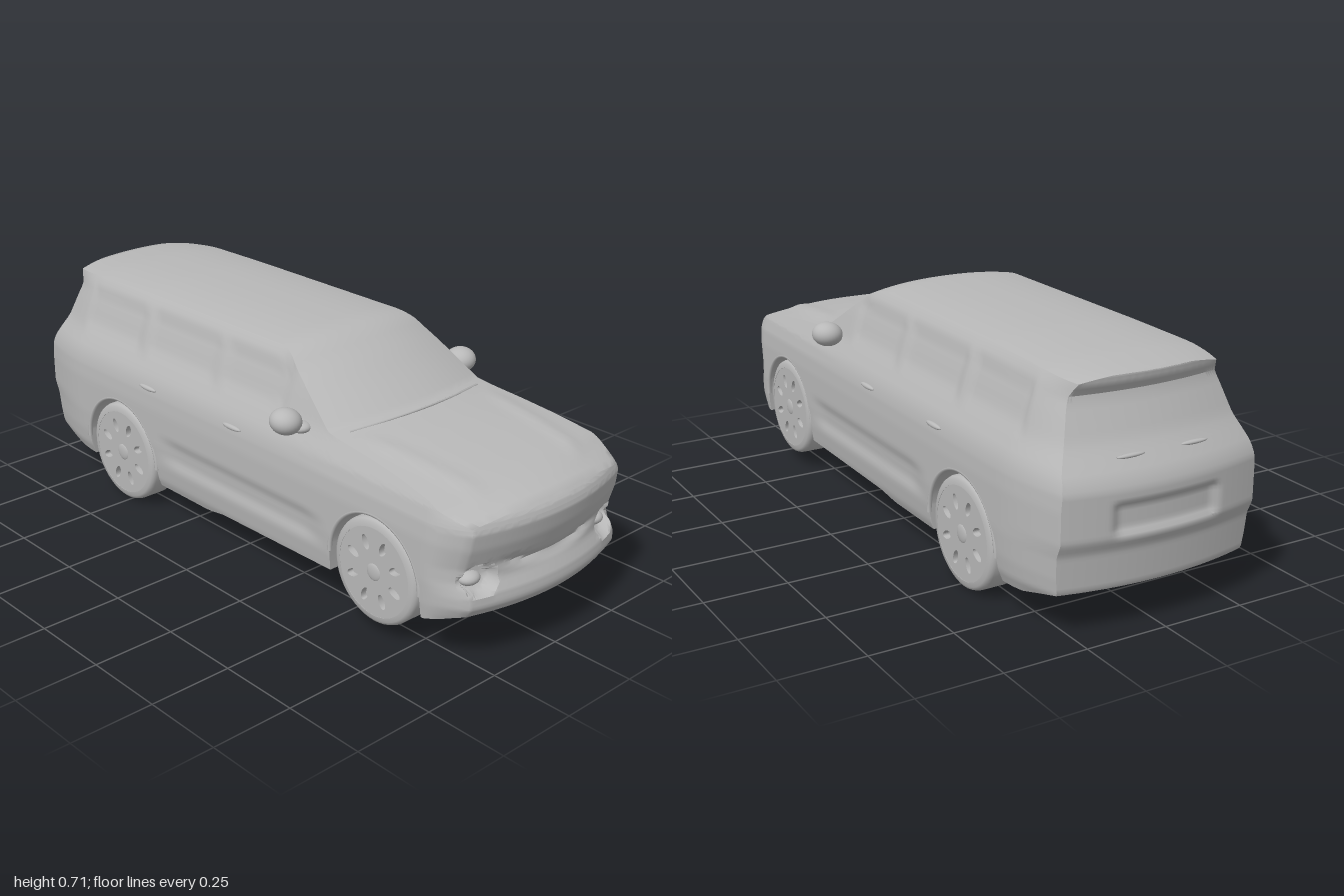
import * as THREE from 'three';
import { toCreasedNormals } from 'three/addons/utils/BufferGeometryUtils.js';

const paint = new THREE.MeshStandardMaterial({ color: 0xb8b8b8 });
paint.name = 'plain grey';

const clamp = (v) => Math.min(1, Math.max(0, v));
const smooth = (v, a, b) => THREE.MathUtils.smoothstep(v, a, b);
const band = (v, a, b, e) => smooth(v, a - e, a + e) * (1 - smooth(v, b - e, b + e));

// Piecewise interpolation through [key, value] pairs
function curve(pairs) {
  return (v) => {
    if (v <= pairs[0][0]) return pairs[0][1];
    for (let i = 1; i < pairs.length; i++) {
      const [k0, a] = pairs[i - 1], [k1, b] = pairs[i];
      if (v <= k1) return a + (b - a) * (v - k0) / (k1 - k0);
    }
    return pairs[pairs.length - 1][1];
  };
}

// Body outlines: heights along the length, half width and end profiles by height
const topLine = curve([[-1, 0.69], [-0.8, 0.7], [-0.5, 0.707], [0.14, 0.708], [0.18, 0.703], [0.22, 0.69],
  [0.3, 0.645], [0.4, 0.58], [0.46, 0.54], [0.5, 0.533], [0.6, 0.524], [0.7, 0.512], [0.85, 0.49], [0.95, 0.468], [1, 0.45]]);
const bottomLine = curve([[-1, 0.13], [-0.85, 0.098], [-0.7, 0.092], [-0.35, 0.105], [-0.1, 0.105],
  [-0.02, 0.12], [0.47, 0.13], [0.82, 0.132], [0.93, 0.145], [1, 0.165]]);
const crown = curve([[0.1, 0.018], [0.5, 0.014], [0.8, 0.02], [1, 0.025]]);
const halfWidth = curve([[0.09, 0.325], [0.13, 0.341], [0.18, 0.348], [0.25, 0.352], [0.37, 0.352], [0.42, 0.348],
  [0.46, 0.338], [0.49, 0.322], [0.52, 0.306], [0.6, 0.279], [0.65, 0.259], [0.675, 0.246], [0.69, 0.233]]);
const nose = curve([[0.13, 0.95], [0.16, 0.98], [0.19, 1], [0.22, 0.998], [0.26, 0.978], [0.3, 0.975],
  [0.36, 0.993], [0.41, 1], [0.435, 0.99], [0.46, 0.965]]);
const tail = curve([[0.1, -0.94], [0.135, -0.972], [0.24, -0.982], [0.28, -1], [0.41, -1], [0.44, -0.99],
  [0.52, -0.935], [0.63, -0.888], [0.645, -0.89], [0.665, -0.908], [0.685, -0.91], [0.7, -0.89]]);

const axles = [
  { name: 'front', z: 0.636, y: 0.196, r: 0.158, arch: 0.174 },
  { name: 'rear', z: -0.523, y: 0.163, r: 0.163, arch: 0.183 },
];

// Bends the nose and tail, and presses in windows, doors, lamps and plate recess
function warp(x, y, s) {
  const t = clamp((s - 0.82) / 0.18), r = clamp((-s - 0.72) / 0.28);
  x *= 1 - 0.14 * t ** 2.2 - 0.12 * r * r;
  const ax = Math.abs(x);
  let z = s;
  if (t > 0) {
    z = 0.82 + (nose(y) - 0.82) * t - 0.6 * x * x * t;
    const fog = clamp(1 - ((ax - 0.255) / 0.055) ** 2 - ((y - 0.265) / 0.045) ** 2);
    const slot = Math.exp(-(((y - 0.28 - 0.6 * x * x) / 0.011) ** 2)) * (1 - smooth(ax, 0.1, 0.22));
    z -= t * (0.035 * smooth(fog, 0, 0.5) + 0.014 * slot);
  }
  if (r > 0) {
    z = -0.72 + (tail(y) + 0.72) * r + 0.45 * x * x * r;
    z += 0.016 * r * band(ax, -1, 0.16, 0.02) * band(y, 0.29, 0.37, 0.012);
  }
  // Curved windscreen base
  z -= 0.55 * x * x * smooth(y, 0.48, 0.53) * smooth(s, 0.1, 0.3) * (1 - smooth(s, 0.5, 0.75));
  // Side glass, door hollow
  if (ax > 0.2) {
    let glass = 0;
    for (const [a, b] of [[-0.78, -0.47], [-0.42, -0.1], [-0.06, 0.26]]) glass += band(s, a, b, 0.02);
    const inset = 0.007 * glass * band(y, 0.53, 0.645, 0.012)
      + 0.009 * band(s, -0.28, 0.4, 0.06) * band(y, 0.21, 0.28, 0.02);
    x -= Math.sign(x) * inset;
  }
  // Bonnet ridges
  if (s > 0.5 && y > 0.44) {
    const ridge = 0.25 - 0.12 * (s - 0.5);
    y += 0.006 * Math.exp(-(((ax - ridge) / 0.025) ** 2)) * band(s, 0.55, 0.9, 0.06);
  }
  return [x, y, z];
}

// Half of one cross-section, from the floor centre around the side to the roof centre
function halfSection(s) {
  const low = bottomLine(s), top = topLine(s), edge = top - crown(s), inner = 0.235;
  let arch = low;
  for (const a of axles) {
    const d = a.arch ** 2 - (s - a.z) ** 2;
    if (d > 0) arch = Math.max(arch, a.y + Math.sqrt(d));
  }
  const pts = [[0, low], [inner, low], [inner, arch]];
  for (let i = 0; i <= 28; i++) {
    const y = Math.max(arch, low + (0.42 - low) * i / 28);
    pts.push([halfWidth(y), y]);
  }
  for (let i = 1; i <= 14; i++) {
    const y = 0.42 + (edge - 0.42) * i / 14;
    pts.push([halfWidth(y), y]);
  }
  for (let i = 1; i <= 14; i++) {
    const u = 1 - i / 14;
    pts.push([halfWidth(edge) * u, edge + (top - edge) * (1 - u ** 2.4)]);
  }
  return pts;
}

function bodyGeometry() {
  const stations = [];
  for (let i = 0; i <= 90; i++) stations.push(-1 + i / 45);
  for (const a of axles) {
    for (const e of [-1, 1]) stations.push(a.z + e * (a.arch + 0.002), a.z + e * (a.arch - 0.001));
    for (let i = 1; i < 20; i++) stations.push(a.z + a.arch * Math.cos(Math.PI * i / 20));
  }
  stations.sort((a, b) => a - b);

  const pos = [], idx = [];
  const sheet = (rows, flip) => {
    const base = pos.length / 3, n = rows[0].length;
    rows.forEach((row) => row.forEach((p) => pos.push(...p)));
    for (let i = 0; i < rows.length - 1; i++) for (let j = 0; j < n - 1; j++) {
      const a = base + i * n + j, b = a + 1, c = b + n, d = a + n;
      if (flip) idx.push(a, c, b, a, d, c); else idx.push(a, b, c, a, c, d);
    }
  };
  // Skin
  sheet(stations.map((s) => {
    const half = halfSection(s);
    const mirrored = half.slice(0, -1).reverse().map(([x, y]) => [-x, y]);
    return [...half, ...mirrored].map(([x, y]) => warp(x, y, s));
  }), false);
  // Nose and tail faces
  for (const s of [1, -1]) {
    sheet(halfSection(s).slice(3).map(([x, y]) =>
      Array.from({ length: 61 }, (_, c) => warp(x * (c / 30 - 1), y, s))), s < 0);
  }
  const g = new THREE.BufferGeometry();
  g.setAttribute('position', new THREE.Float32BufferAttribute(pos, 3));
  g.setIndex(idx);
  return toCreasedNormals(g, 0.7);
}

function add(parent, name, geometry, x = 0, y = 0, z = 0) {
  const m = new THREE.Mesh(geometry, paint);
  m.name = name;
  m.position.set(x, y, z);
  parent.add(m);
  return m;
}

// Wheel with its axis on z, outer face towards +z
function makeWheel(r) {
  const wheel = new THREE.Group(), rim = r * 0.84;
  const profile = [[0, -0.052], [r - 0.014, -0.052], [r - 0.004, -0.047], [r, -0.036], [r, 0.036],
    [r - 0.004, 0.046], [r - 0.012, 0.051], [rim, 0.053], [rim, 0.032], [0, 0.032]];
  const tyre = new THREE.LatheGeometry(profile.map(([a, b]) => new THREE.Vector2(a, b)), 48);
  tyre.rotateX(Math.PI / 2);
  add(wheel, 'tyre', toCreasedNormals(tyre, 0.7));
  const face = new THREE.Shape().absarc(0, 0, rim, 0, Math.PI * 2);
  for (let i = 0; i < 8; i++) {
    const a = (i + 0.5) * Math.PI / 4;
    const hole = new THREE.Path();
    hole.absellipse(Math.cos(a) * r * 0.55, Math.sin(a) * r * 0.55, r * 0.14, r * 0.075, 0, Math.PI * 2, true, a);
    face.holes.push(hole);
  }
  const disc = new THREE.ExtrudeGeometry(face, { depth: 0.02, bevelEnabled: false, curveSegments: 24 });
  add(wheel, 'rimFace', disc, 0, 0, 0.032);
  add(wheel, 'hub', new THREE.SphereGeometry(r * 0.17, 20, 12), 0, 0, 0.05).scale.z = 0.25;
  return wheel;
}

export function createModel() {
  const car = new THREE.Group();
  car.name = 'car';
  add(car, 'body', bodyGeometry());

  // Wiper along the windscreen base
  const wiperPath = new THREE.CatmullRomCurve3([-0.26, -0.13, 0, 0.13, 0.26].map((x) =>
    new THREE.Vector3(x, 0.537 - 0.17 * x * x, 0.485 - 0.55 * x * x)));
  add(car, 'wiper', new THREE.TubeGeometry(wiperPath, 24, 0.004, 6));

  for (const side of [1, -1]) {
    const label = side > 0 ? 'left' : 'right';
    for (const a of axles) {
      const wheel = makeWheel(a.r);
      wheel.name = `${label}${a.name}Wheel`;
      wheel.position.set(side * 0.293, a.y, a.z);
      wheel.rotation.y = side * Math.PI / 2;
      car.add(wheel);
      const lip = add(car, 'archLip', new THREE.TorusGeometry(a.arch, 0.007, 8, 40, Math.PI), side * 0.346, a.y, a.z);
      lip.rotation.y = Math.PI / 2;
    }
    // Door mirror on a short stalk
    const mirror = add(car, `${label}Mirror`, new THREE.SphereGeometry(1, 28, 20), side * 0.357, 0.536, 0.292);
    mirror.scale.set(0.047, 0.038, 0.048);
    mirror.rotation.set(0, side * 0.5, side * 0.15);
    const stalk = add(car, 'mirrorStalk', new THREE.SphereGeometry(1, 16, 12), side * 0.318, 0.515, 0.315);
    stalk.scale.set(0.03, 0.016, 0.028);
    // Door handles
    for (const z of [0.04, -0.37]) {
      const handle = add(car, 'doorHandle', new THREE.SphereGeometry(1, 16, 10), side * 0.346, 0.433, z);
      handle.scale.set(0.009, 0.008, 0.042);
    }
    // Fog lamp and tailgate trim
    const lamp = add(car, 'fogLamp', new THREE.SphereGeometry(1, 20, 14), side * 0.258, 0.258, 0.9);
    lamp.scale.set(0.034, 0.02, 0.03);
    const trim = add(car, 'tailgateTrim', new THREE.SphereGeometry(1, 16, 10), side * 0.1, 0.485, -0.955);
    trim.scale.set(0.045, 0.006, 0.008);
  }
  return car;
}
